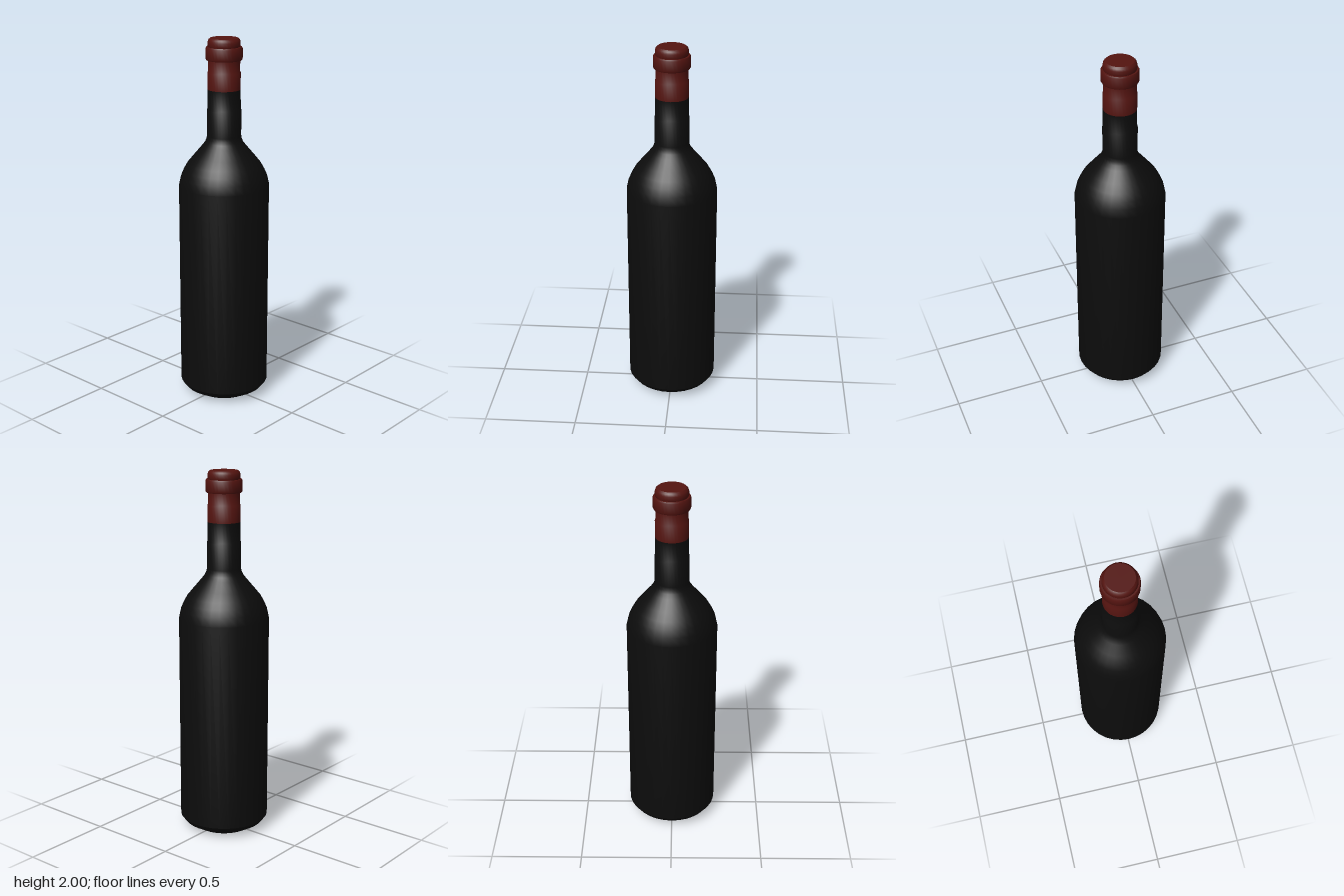
import * as THREE from 'three';
import { toCreasedNormals } from 'three/addons/utils/BufferGeometryUtils.js';

const SIDES = 32;

// Revolve a [radius, height] profile, listed from bottom to top, around the y axis
function turned(name, profile, material) {
  const points = profile.map(([r, y]) => new THREE.Vector2(r, y));
  const geometry = toCreasedNormals(new THREE.LatheGeometry(points, SIDES), 0.6);
  const mesh = new THREE.Mesh(geometry, material);
  mesh.name = name;
  return mesh;
}

export function createModel() {
  const bottle = new THREE.Group();
  bottle.name = 'bottle';

  const glass = new THREE.MeshStandardMaterial({ color: 0x0c0c0c, side: THREE.DoubleSide });
  const foil = new THREE.MeshStandardMaterial({ color: 0x541410, side: THREE.DoubleSide });

  // Glass: flat base, bevelled heel, straight body, rounded shoulder and slim neck
  bottle.add(turned('glassBody', [
    [0, 0], [0.16, 0], [0.185, 0.015], [0.222, 0.036], [0.245, 0.066],
    [0.245, 1.21], [0.234, 1.258], [0.218, 1.295], [0.198, 1.33],
    [0.165, 1.37], [0.12, 1.423], [0.103, 1.445], [0.095, 1.463], [0.092, 1.48],
    [0.092, 1.62], [0.089, 1.625], [0.088, 1.73],
  ], glass));

  // Foil sleeve around the upper neck
  bottle.add(turned('foilSleeve', [
    [0.088, 1.73], [0.088, 1.82], [0.085, 1.825], [0.085, 1.89],
  ], foil));

  // Raised collar below the mouth
  bottle.add(turned('foilCollar', [
    [0.085, 1.886], [0.094, 1.886], [0.098, 1.893], [0.098, 1.947], [0.094, 1.955], [0.085, 1.955],
  ], foil));

  // Rounded cap closing the mouth
  bottle.add(turned('foilCap', [
    [0.085, 1.955], [0.087, 1.96], [0.087, 1.98], [0.083, 1.992], [0.074, 2], [0, 2],
  ], foil));

  return bottle;
}
